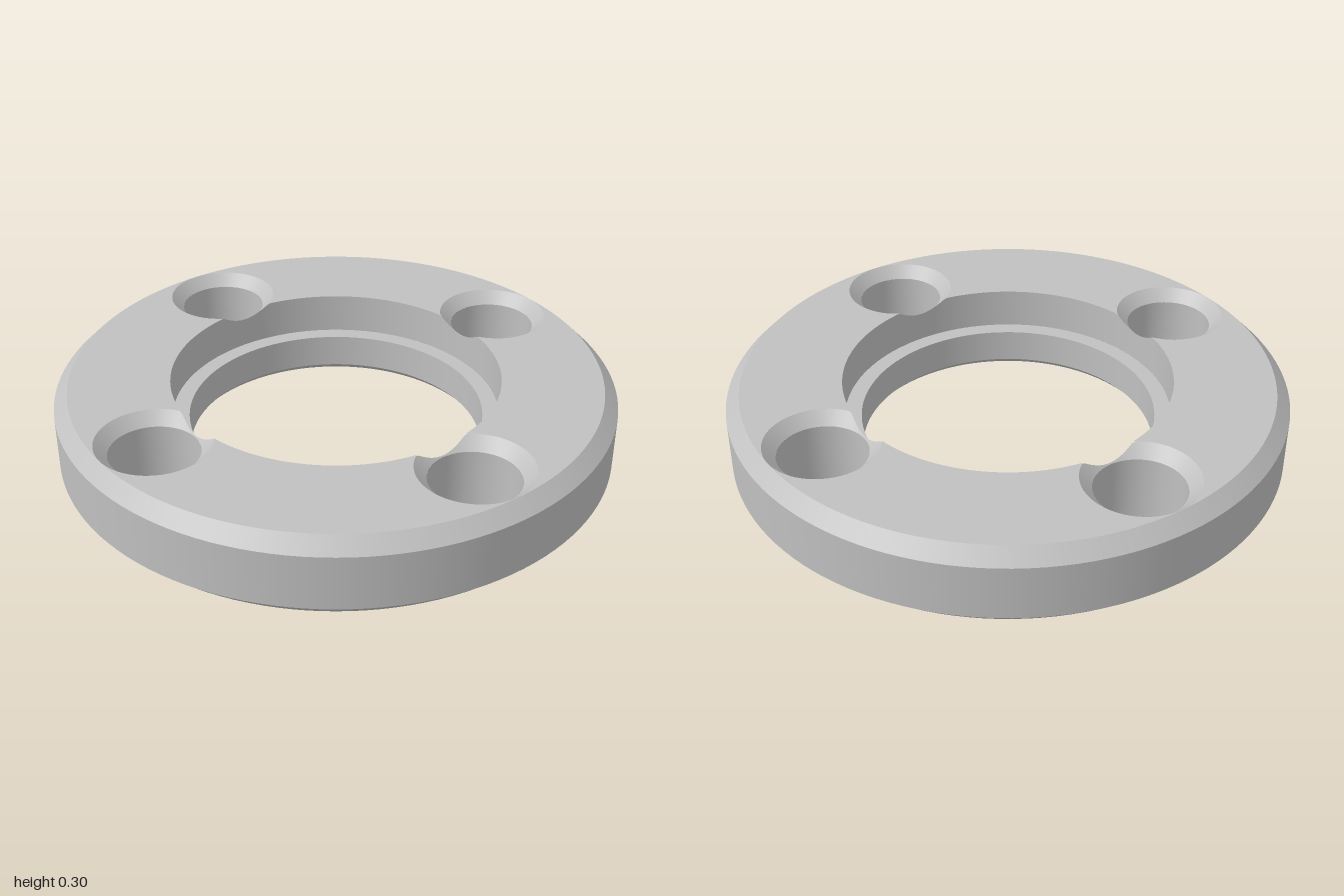
import * as THREE from 'three';

const TOP = 0.3, LEDGE = 0.15;              // heights
const BORE = 0.59;                          // counterbore radius
const PITCH = 0.75, HOLE = 0.156, SINK = 0.1995; // screw holes
const SINK_Y = TOP - (SINK - HOLE);         // foot of the 45 degree countersink
const SEG = 128;

// Closed band between two loops; edge(angle, t) returns a point, t = 0 or 1
function band(edge, n) {
  const pos = [], idx = [];
  for (let i = 0; i < n; i++) {
    const a = (i / n) * Math.PI * 2, j = (i + 1) % n;
    pos.push(...edge(a, 0), ...edge(a, 1));
    idx.push(2 * i, 2 * j, 2 * i + 1, 2 * j, 2 * j + 1, 2 * i + 1);
  }
  const g = new THREE.BufferGeometry();
  g.setAttribute('position', new THREE.Float32BufferAttribute(pos, 3));
  g.setIndex(idx);
  g.computeVertexNormals();
  return g;
}

export function createModel() {
  const group = new THREE.Group();
  const steel = new THREE.MeshStandardMaterial({ color: 0xc0c0c0 });
  steel.name = 'grey steel';

  const add = (name, geometry, parent = group) => {
    const m = new THREE.Mesh(geometry, steel);
    m.name = name;
    parent.add(m);
    return m;
  };
  const turned = (r0, y0, r1, y1, n = SEG) =>
    new THREE.LatheGeometry([new THREE.Vector2(r0, y0), new THREE.Vector2(r1, y1)], n);
  const disc = (r) => new THREE.Shape().absarc(0, 0, r, 0, Math.PI * 2, false);

  // Outer rim with chamfers
  add('lowerChamfer', turned(0.95, 0, 1, 0.05));
  add('outerRim', turned(1, 0.05, 1, 0.25));
  add('upperChamfer', turned(1, 0.25, 0.95, TOP));

  // Stepped centre bore
  add('boreLedge', turned(BORE, LEDGE, 0.53, LEDGE));
  add('boreWall', turned(0.53, LEDGE, 0.53, 0.025));
  add('boreChamfer', turned(0.53, 0.025, 0.555, 0));

  // Counterbore wall, dipping where the countersinks break through it
  add('counterboreWall', band((a, t) => {
    const q = a - Math.round(a / (Math.PI / 2)) * (Math.PI / 2);
    const d = Math.hypot(BORE * Math.cos(q) - PITCH, BORE * Math.sin(q));
    const y = t ? LEDGE : Math.min(TOP, SINK_Y + d - HOLE);
    return [BORE * Math.sin(a), y, BORE * Math.cos(a)];
  }, 480));

  // Top face: inner outline alternates countersink arcs and bore arcs
  const t0 = Math.acos((PITCH ** 2 + BORE ** 2 - SINK ** 2) / (2 * PITCH * BORE));
  const phi0 = Math.atan2(BORE * Math.sin(t0), BORE * Math.cos(t0) - PITCH);
  const outline = [];
  for (let k = 0; k < 4; k++) {
    const turn = k * Math.PI / 2, centre = new THREE.Vector2();
    for (let i = 0; i <= 48; i++) {
      const p = phi0 * (i / 24 - 1);
      outline.push(new THREE.Vector2(PITCH + SINK * Math.cos(p), SINK * Math.sin(p))
        .rotateAround(centre, turn));
    }
    for (let i = 1; i < 32; i++) {
      const a = turn + t0 + (Math.PI / 2 - 2 * t0) * (i / 32);
      outline.push(new THREE.Vector2(BORE * Math.cos(a), BORE * Math.sin(a)));
    }
  }
  const topShape = disc(0.95);
  topShape.holes.push(new THREE.Path(outline));
  add('topFace', new THREE.ShapeGeometry(topShape, SEG).rotateX(-Math.PI / 2).translate(0, TOP, 0));

  // Bottom face with the bore and four screw holes
  const bottomShape = disc(0.95);
  bottomShape.holes.push(disc(0.555));
  for (let k = 0; k < 4; k++) {
    const a = k * Math.PI / 2;
    bottomShape.holes.push(new THREE.Path().absarc(
      PITCH * Math.cos(a), PITCH * Math.sin(a), HOLE, 0, Math.PI * 2, false));
  }
  add('bottomFace', new THREE.ShapeGeometry(bottomShape, SEG).rotateX(Math.PI / 2));

  // Countersunk screw holes, each cone trimmed by the counterbore
  const cone = band((a, t) => {
    const b = PITCH * Math.cos(a);
    const root = b * b - (PITCH ** 2 - BORE ** 2);
    let r = HOLE;
    if (!t) {
      r = SINK;
      if (b < 0 && root > 0) r = Math.min(SINK, -b - Math.sqrt(root));
    }
    return [r * Math.sin(a), SINK_Y + r - HOLE, r * Math.cos(a)];
  }, 96);
  const wall = turned(HOLE, SINK_Y, HOLE, 0, 64);
  for (let k = 0; k < 4; k++) {
    const pivot = new THREE.Group();
    pivot.name = 'screwHole';
    pivot.rotation.y = k * Math.PI / 2;
    group.add(pivot);
    add('countersink', cone, pivot).position.z = PITCH;
    add('holeWall', wall, pivot).position.z = PITCH;
  }
  return group;
}
